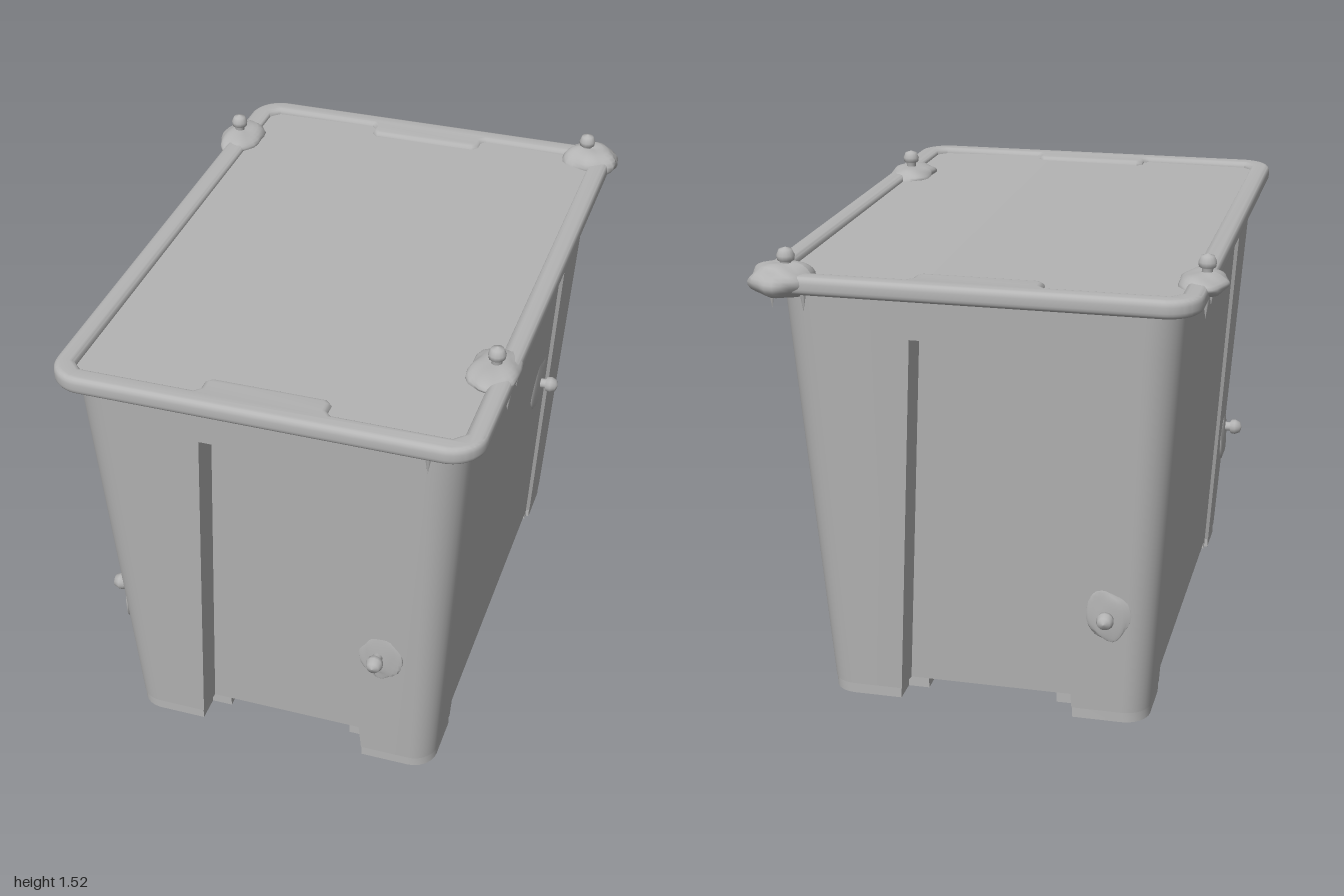
import * as THREE from 'three';
import { toCreasedNormals } from 'three/addons/utils/BufferGeometryUtils.js';

const lerp = THREE.MathUtils.lerp;
const LEDGE = 1.26, FLOOR = 0.035, TOP = 1.4;
const halfW = y => lerp(0.525, 0.62, y / TOP);
const halfL = y => lerp(0.82, 0.912, y / TOP);

// Horizontal section of the tub: rounded corners, deep end recesses, shallow side recesses
function ring(y, recessed) {
  const W = halfW(y), L = halfL(y), r = lerp(0.08, 0.11, y / TOP);
  const t = Math.min(y / LEDGE, 1);
  const h = lerp(0.285, 0.205, t), s = lerp(0.59, 0.53, t);
  const dEnd = recessed ? 0.085 : 0, dSide = recessed ? 0.012 : 0;
  const q = [[W - dSide, s - 0.01], [W, s]];
  for (let i = 0; i <= 8; i++) {
    const a = i / 8 * Math.PI / 2;
    q.push([W - r + r * Math.cos(a), L - r + r * Math.sin(a)]);
  }
  q.push([h, L], [h - (recessed ? 0.008 : 0), L - dEnd]);
  const m = q.slice().reverse();
  return [
    ...q, ...m.map(([x, z]) => [-x, z]),
    ...q.map(([x, z]) => [-x, -z]), ...m.map(([x, z]) => [x, -z])
  ];
}

// Walls lofted through the sections; the doubled height makes the recess ledge
function tubWalls() {
  const levels = [[FLOOR, true], [LEDGE - 0.01, true], [LEDGE, false], [TOP, false]];
  const pos = [], idx = [];
  const n = ring(0, true).length;
  for (const [y, rec] of levels) for (const [x, z] of ring(y, rec)) pos.push(x, y, z);
  for (let k = 0; k < levels.length - 1; k++) {
    for (let i = 0; i < n; i++) {
      const a = k * n + i, b = k * n + (i + 1) % n;
      idx.push(a, a + n, b, b, a + n, b + n);
    }
  }
  const g = new THREE.BufferGeometry();
  g.setAttribute('position', new THREE.Float32BufferAttribute(pos, 3));
  g.setIndex(idx);
  return toCreasedNormals(g, 0.6);
}

// Rounded rectangle outline, half sizes w and l
function roundedRect(w, l, r) {
  const s = new THREE.Shape();
  s.absarc(w - r, l - r, r, 0, Math.PI / 2);
  s.absarc(-w + r, l - r, r, Math.PI / 2, Math.PI);
  s.absarc(-w + r, -l + r, r, Math.PI, Math.PI * 1.5);
  s.absarc(w - r, -l + r, r, Math.PI * 1.5, Math.PI * 2);
  s.closePath();
  return s;
}

// Lid opening with a notch in each short end
function lidOpening() {
  const w = 0.607, l = 0.892, n = 0.2, d = 0.82, c = 0.03;
  const half = [
    [w, l - c], [w - c, l], [n + 0.015, l], [n, l - 0.015], [n, d + 0.02], [n - 0.02, d],
    [-n + 0.02, d], [-n, d + 0.02], [-n, l - 0.015], [-n - 0.015, l], [-w + c, l], [-w, l - c]
  ];
  const all = [...half, ...half.map(([x, z]) => [-x, -z])];
  return new THREE.Path(all.map(([x, z]) => new THREE.Vector2(x, z)));
}

export function createModel() {
  const root = new THREE.Group();
  root.name = 'storageBox';
  const box = new THREE.Group();
  box.name = 'boxWithLid';
  box.position.x = -0.015;
  box.rotation.y = -0.058;
  root.add(box);

  const grey = new THREE.MeshStandardMaterial({ color: 0xb4b4b4 });
  grey.name = 'grey plastic';
  grey.side = THREE.DoubleSide;
  const add = (geo, name, parent = box) => {
    const m = new THREE.Mesh(geo, grey);
    m.name = name;
    parent.add(m);
    return m;
  };

  // Tub
  add(tubWalls(), 'tubWalls');
  const floorShape = new THREE.Shape(ring(FLOOR, true).map(([x, z]) => new THREE.Vector2(x, z)));
  add(new THREE.ShapeGeometry(floorShape).rotateX(Math.PI / 2).translate(0, FLOOR, 0), 'tubFloor');

  // Corner feet
  for (const sx of [1, -1]) for (const sz of [1, -1]) {
    const W = halfW(0), L = halfL(0), r = 0.08;
    const pts = [[0.285, L], [0.285, L - 0.085], [0.215, L - 0.085], [0.215, 0.57],
      [W - 0.012, 0.57], [W - 0.012, 0.59], [W, 0.59]];
    for (let i = 0; i <= 6; i++) {
      const a = i / 6 * Math.PI / 2;
      pts.push([W - r + r * Math.cos(a), L - r + r * Math.sin(a)]);
    }
    const shape = new THREE.Shape(pts.map(([x, z]) => new THREE.Vector2(x * sx, z * sz)));
    const geo = new THREE.ExtrudeGeometry(shape, { depth: FLOOR, bevelEnabled: false });
    add(toCreasedNormals(geo.rotateX(Math.PI / 2).translate(0, FLOOR, 0), 0.6), 'foot');
  }

  // Lid rim
  const rim = roundedRect(0.675, 0.962, 0.11);
  rim.holes.push(lidOpening());
  const rimGeo = new THREE.ExtrudeGeometry(rim, {
    depth: 0.018, bevelThickness: 0.02, bevelSize: 0.018, bevelOffset: -0.018, bevelSegments: 4, curveSegments: 10
  });
  add(toCreasedNormals(rimGeo.rotateX(-Math.PI / 2).translate(0, 1.412, 0), 0.7), 'lidRim');

  // Lid panel, folded slightly along its length
  const fold = new THREE.Shape();
  [[-0.62, 1.41], [0.62, 1.41], [0.62, 1.43], [0.16, 1.438], [-0.62, 1.43]].forEach(([x, y], i) =>
    i ? fold.lineTo(x, y) : fold.moveTo(x, y));
  add(new THREE.ExtrudeGeometry(fold, { depth: 1.8, bevelEnabled: false }).translate(0, 0, -0.9), 'lidPanel');

  // Small round-headed pins: position, outward direction
  const pinProfile = [[0.017, -0.02], [0.017, 0.025], [0.026, 0.03], [0.028, 0.045], [0.02, 0.063], [0, 0.07]]
    .map(([x, y]) => new THREE.Vector2(x, y));
  const up = new THREE.Vector3(0, 1, 0);
  const pins = [
    [-0.656, 1.45, -0.674, 0, 1, 0], [0.585, 1.455, -0.897, 0, 1, 0], [0.61, 1.45, 0.51, 0, 1, 0],
    [halfW(0.785) - 0.01, 0.785, -0.386, 1, 0, 0], [-halfW(0.455), 0.455, 0.72, -1, 0, 0],
    [0.35, 0.5, halfL(0.5), 0, 0, 1], [-0.4, 0.385, -halfL(0.385), 0, 0, -1]
  ];
  for (const [x, y, z, dx, dy, dz] of pins) {
    const pin = add(new THREE.LatheGeometry(pinProfile, 14), 'pin');
    pin.position.set(x, y, z);
    pin.quaternion.setFromUnitVectors(up, new THREE.Vector3(dx, dy, dz));
  }

  // Uneven mounds under the pins: centre, half sizes
  const mounds = [
    [-0.645, 1.43, -0.675, 0.075, 0.035, 0.12], [0.6, 1.425, -0.895, 0.1, 0.055, 0.09],
    [0.605, 1.432, 0.51, 0.08, 0.033, 0.12],
    [halfW(0.785) - 0.014, 0.785, -0.386, 0.012, 0.09, 0.11], [-halfW(0.42), 0.42, 0.72, 0.012, 0.09, 0.07],
    [0.36, 0.5, halfL(0.5), 0.07, 0.09, 0.01], [-0.4, 0.39, -halfL(0.39), 0.07, 0.09, 0.012]
  ];
  mounds.forEach(([x, y, z, a, b, c], k) => {
    const geo = new THREE.SphereGeometry(1, 24, 14);
    const p = geo.attributes.position;
    for (let i = 0; i < p.count; i++) {
      const w = 1 + 0.1 * Math.sin(4 * p.getX(i) + k) * Math.cos(5 * p.getZ(i) + 3 * p.getY(i));
      p.setXYZ(i, p.getX(i) * a * w, p.getY(i) * b * w, p.getZ(i) * c * w);
    }
    geo.computeVertexNormals();
    add(geo, 'mound').position.set(x, y, z);
  });

  // Drips hanging below the lid edge
  const drips = [[-0.66, -0.72], [-0.66, -0.6], [0.655, -0.86], [0.63, -0.91], [0.52, -0.94],
    [0.66, 0.45], [0.66, 0.56], [0.52, 0.94]];
  drips.forEach(([x, z], k) => {
    add(new THREE.ConeGeometry(0.014, 0.08, 8).rotateX(Math.PI), 'drip').position.set(x, 1.372 + 0.006 * (k % 3), z);
  });

  return root;
}
